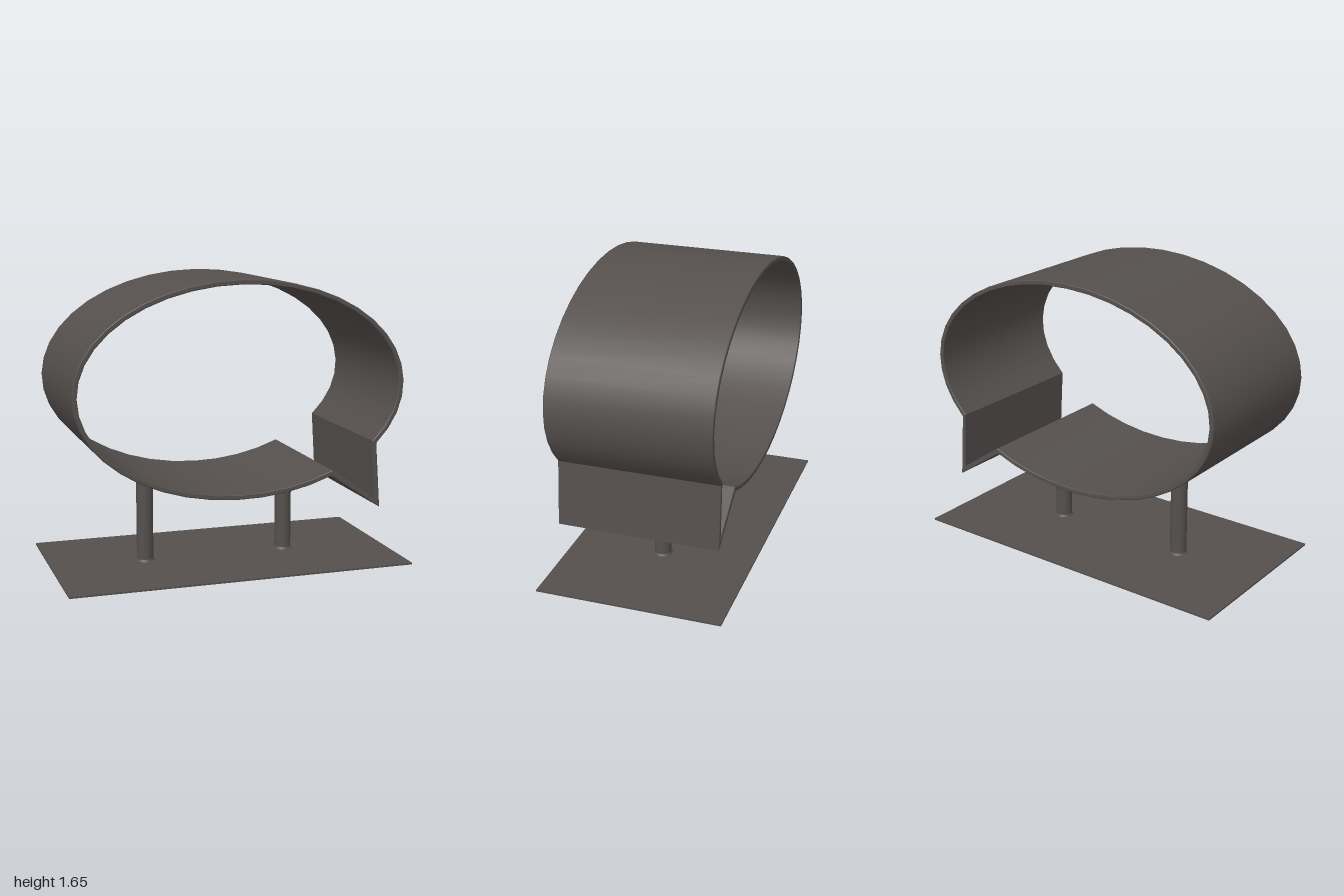
import * as THREE from 'three';
import { toCreasedNormals } from 'three/addons/utils/BufferGeometryUtils.js';

const CY = 1.05, RX = 0.95, RY = 0.605, WALL = 0.027, HALF_DEPTH = 0.46;

// Height of the lower half of the ellipse at x, moved inwards by inset
const lowerY = (x, inset = 0) =>
  CY - (RY - inset) * Math.sqrt(1 - (x / (RX - inset)) ** 2);

// Speech bubble outline: an open ellipse closed by a pointed tail
function outline(inset, rightX, leftX, tip) {
  const rx = RX - inset, ry = RY - inset;
  const start = -Math.acos(rightX / rx);
  const end = 2 * Math.PI - Math.acos(leftX / rx);
  const points = [];
  const n = 38;
  for (let i = 0; i <= n; i++) {
    const a = start + (end - start) * i / n;
    points.push(new THREE.Vector2(rx * Math.cos(a), CY + ry * Math.sin(a)));
  }
  points.push(new THREE.Vector2(...tip));
  return points;
}

export function createModel() {
  const model = new THREE.Group();
  const metal = new THREE.MeshStandardMaterial({ color: 0x55504e });
  metal.name = 'dark metal';

  const add = (name, geometry, x, y, z) => {
    const mesh = new THREE.Mesh(geometry, metal);
    mesh.name = name;
    mesh.position.set(x, y, z);
    model.add(mesh);
  };

  // Thin ground plate
  add('basePlate', new THREE.BoxGeometry(2, 0.01, 1.06), 0, 0.005, 0);

  // Hollow bubble band with softened rims
  const shape = new THREE.Shape(outline(0, 0.79, 0.515, [0.817, 0.34]));
  shape.holes.push(new THREE.Path(outline(WALL, 0.766, 0.523, [0.786, 0.392])));
  const bevel = 0.004;
  const band = new THREE.ExtrudeGeometry(shape, {
    depth: 2 * (HALF_DEPTH - bevel), bevelEnabled: true, bevelSegments: 1,
    bevelThickness: bevel, bevelSize: bevel, bevelOffset: -bevel,
  });
  band.translate(0, 0, bevel - HALF_DEPTH);
  add('bubbleBand', toCreasedNormals(band, 0.5), 0, 0, 0);

  // Posts, their tops cut to follow the underside of the band
  for (const [side, x] of [['right', -0.45], ['left', 0.4]]) {
    const post = new THREE.CylinderGeometry(0.048, 0.048, 1, 32);
    post.translate(0, 0.5, 0);
    const p = post.attributes.position;
    for (let i = 0; i < p.count; i++) {
      if (p.getY(i) > 0.5) p.setY(i, lowerY(x + p.getX(i), WALL / 2));
    }
    add(side + 'Post', post, x, 0, 0);
    // Weld collar at the foot
    add(side + 'Collar', new THREE.CylinderGeometry(0.048, 0.056, 0.012, 32), x, 0.016, 0);
  }
  return model;
}
